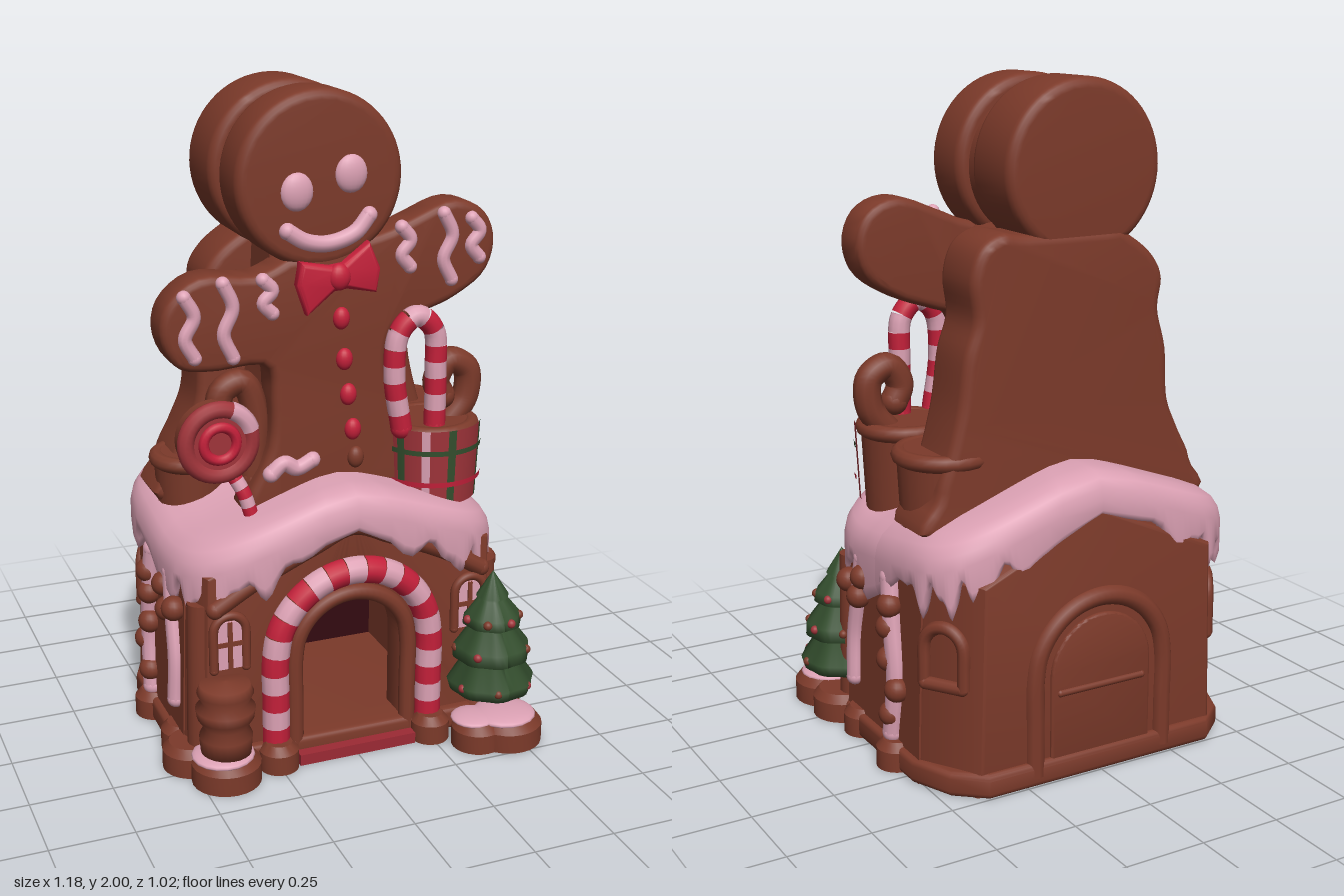
import * as THREE from 'three';
import { toCreasedNormals } from 'three/addons/utils/BufferGeometryUtils.js';

const mat = (name, color) => Object.assign(new THREE.MeshStandardMaterial({ color }), { name });
const V = (x, y, z) => new THREE.Vector3(x, y, z);
const poly = pts => new THREE.Shape(pts.map(p => new THREE.Vector2(...p)));

export function createModel() {
  const root = new THREE.Group();
  const ginger = mat('gingerbread', 0x7c3a2a), icing = mat('pink icing', 0xdda2b5), red = mat('candy red', 0xc4203a);
  const dark = mat('dark interior', 0x330a10), green = mat('tree green', 0x35502f);
  const floorRed = mat('floor red', 0x9c2a34), cloth = mat('dull red', 0xa0343a);

  const add = (name, geo, m, x = 0, y = 0, z = 0, parent = root) => {
    const mesh = new THREE.Mesh(geo, m);
    mesh.name = name;
    mesh.position.set(x, y, z);
    parent.add(mesh);
    return mesh;
  };
  const ball = (name, m, x, y, z, rx, ry = rx, rz = rx) =>
    add(name, new THREE.SphereGeometry(1, 18, 12), m, x, y, z).scale.set(rx, ry, rz);
  const slab = (name, shape, z0, z1, b, m) => {
    const g = new THREE.ExtrudeGeometry(shape, {
      depth: z1 - z0 - 2 * b, bevelEnabled: b > 0, bevelThickness: b, bevelSize: b, bevelOffset: -b, bevelSegments: 4, curveSegments: 32
    });
    return add(name, toCreasedNormals(g, 0.8), m, 0, 0, z0 + b);
  };
  // Narrow the outer sides of a wall slab towards its front (dir 1) or back (dir -1)
  const taper = (mesh, dir, k) => {
    const p = mesh.geometry.attributes.position;
    mesh.geometry.computeBoundingBox();
    const { min, max } = mesh.geometry.boundingBox;
    for (let i = 0; i < p.count; i++) {
      const t = (dir > 0 ? p.getZ(i) - min.z : max.z - p.getZ(i)) / (max.z - min.z);
      if (Math.abs(p.getX(i)) > 0.3) p.setX(i, p.getX(i) * (1 - (1 - k) * t));
    }
    mesh.geometry = toCreasedNormals(mesh.geometry, 0.6);
  };
  const tube = (name, pts, r, m) => {
    const c = new THREE.CatmullRomCurve3(pts);
    add(name, new THREE.TubeGeometry(c, pts.length * 6, r, 10), m);
    for (const p of [pts[0], pts[pts.length - 1]]) ball(name + 'End', m, p.x, p.y, p.z, r);
  };
  // Candy stick cut into alternating red and pink pieces
  const candy = (name, pts, r, n) => {
    const c = new THREE.CatmullRomCurve3(pts);
    for (let i = 0; i < n; i++) {
      const part = [0, 1, 2, 3].map(k => c.getPointAt((i + k / 3) / n));
      add(name, new THREE.TubeGeometry(new THREE.CatmullRomCurve3(part), 6, r, 12), i % 2 ? icing : red);
    }
    for (const [t, k] of [[0, 0], [1, n - 1]]) {
      const p = c.getPointAt(t);
      ball(name + 'End', k % 2 ? icing : red, p.x, p.y, p.z, r);
    }
  };
  const archPts = (r, y0, cy, z, cx = 0) => {
    const p = [V(cx - r, y0, z), V(cx - r, (y0 + cy) / 2, z)];
    for (let i = 0; i <= 8; i++) p.push(V(cx - r * Math.cos(i * Math.PI / 8), cy + r * Math.sin(i * Math.PI / 8), z));
    return [...p, V(cx + r, (y0 + cy) / 2, z), V(cx + r, y0, z)];
  };
  const archShape = (r, y0, cy, Type = THREE.Shape) => {
    const s = new Type();
    s.moveTo(-r, y0); s.lineTo(r, y0); s.lineTo(r, cy);
    s.absarc(0, cy, r, 0, Math.PI, false);
    s.closePath();
    return s;
  };
  const blob = pts => new THREE.Shape(new THREE.SplineCurve([...pts, pts[0]].map(p => new THREE.Vector2(...p))).getPoints(90).slice(0, -1));
  const disc = (x, y, r) => new THREE.Shape().absarc(x, y, r, 0, Math.PI * 2, false);

  // House shell: front wall with doorway, hollow middle, solid back
  const gable = hole => {
    const s = poly([[-0.51, 0], [0.51, 0], [0.49, 0.63], [0, 0.8], [-0.49, 0.63]]);
    if (hole) s.holes.push(hole);
    return s;
  };
  taper(slab('frontWall', gable(archShape(0.165, 0.03, 0.335, THREE.Path)), 0.16, 0.275, 0.012, ginger), 1, 0.92);
  slab('sideWalls', gable(archShape(0.3, 0.03, 0.33, THREE.Path)), -0.31, 0.17, 0, ginger);
  taper(slab('backWall', gable(), -0.485, -0.3, 0.012, ginger), -1, 0.78);
  slab('interiorBack', archShape(0.3, 0.03, 0.33), -0.302, -0.293, 0, dark);
  add('floor', new THREE.BoxGeometry(0.4, 0.02, 0.58), floorRed, 0, 0.03, -0.005);
  add('doorstep', new THREE.BoxGeometry(0.38, 0.035, 0.05), floorRed, 0, 0.0175, 0.31);
  add('innerArch', new THREE.TubeGeometry(new THREE.CatmullRomCurve3(archPts(0.185, 0.03, 0.335, 0.275)), 60, 0.026, 10), ginger);
  candy('doorArch', archPts(0.25, 0.07, 0.345, 0.285), 0.042, 23);
  tube('gableTrim', [V(-0.43, 0.53, 0.27), V(-0.3, 0.61, 0.28), V(-0.12, 0.69, 0.28), V(0, 0.735, 0.28), V(0.12, 0.69, 0.28), V(0.3, 0.61, 0.28), V(0.43, 0.53, 0.27)], 0.028, ginger);

  // Back door with raised frame
  slab('backDoor', archShape(0.17, 0.05, 0.32), -0.495, -0.475, 0.008, ginger);
  add('backArch', new THREE.TubeGeometry(new THREE.CatmullRomCurve3(archPts(0.22, 0.03, 0.32, -0.48)), 60, 0.03, 10), ginger);
  tube('backDoorRail', [V(-0.14, 0.27, -0.49), V(0, 0.27, -0.49), V(0.14, 0.27, -0.49)], 0.012, ginger);

  // Plinth and its lobes
  const plan = poly([[-0.38, -0.505], [0.38, -0.505], [0.47, -0.43], [0.525, -0.3], [0.53, 0.14], [0.46, 0.3], [-0.46, 0.3], [-0.53, 0.14], [-0.525, -0.3], [-0.47, -0.43]]);
  const plinth = slab('plinth', plan, 0, 0.075, 0.018, ginger);
  plinth.rotation.x = Math.PI / 2;
  plinth.position.set(0, 0.057, 0);
  const lobe = (x, z, r, h = 0.085) => {
    const p = [[0, 0], [r, 0], [r, h - 0.025], [r - 0.02, h], [0, h]].map(q => new THREE.Vector2(...q));
    add('baseLobe', toCreasedNormals(new THREE.LatheGeometry(p, 24), 0.6), ginger, x, 0, z);
  };
  [[-0.42, 0.32, 0.105], [-0.49, 0.2, 0.09], [0.37, 0.4, 0.08], [0.47, 0.4, 0.11], [0.48, 0.26, 0.1], [-0.25, 0.31, 0.06], [0.25, 0.31, 0.06],
    [-0.5, -0.16, 0.065], [0.5, -0.16, 0.065], [0.48, 0.1, 0.07], [-0.48, 0.08, 0.07]].forEach(l => lobe(...l));
  ball('baseSnow', icing, 0.46, 0.085, 0.4, 0.1, 0.02, 0.095);
  ball('baseSnow', icing, 0.36, 0.085, 0.39, 0.07, 0.016, 0.07);
  ball('baseSnow', icing, -0.43, 0.085, 0.32, 0.095, 0.02, 0.095);

  // Stacked jar beside the door
  const jar = [[0, 0.08], [0.075, 0.09], [0.08, 0.15], [0.065, 0.18], [0.085, 0.21], [0.09, 0.24], [0.07, 0.26], [0.085, 0.29], [0.075, 0.315], [0, 0.325]];
  add('jar', new THREE.LatheGeometry(jar.map(p => new THREE.Vector2(...p)), 24), ginger, -0.42, 0, 0.32);
  // Front windows
  for (const s of [-1, 1]) {
    add('frontWindow', new THREE.BoxGeometry(0.085, 0.15, 0.008), icing, s * 0.39, 0.415, 0.279);
    add('windowBar', new THREE.BoxGeometry(0.014, 0.15, 0.008), ginger, s * 0.39, 0.415, 0.284);
    add('windowBar', new THREE.BoxGeometry(0.085, 0.014, 0.008), ginger, s * 0.39, 0.42, 0.284);
    tube('windowFrame', archPts(0.05, 0.34, 0.46, 0.28, s * 0.39), 0.014, ginger);
  }
  // Side walls: corner posts, icing drips with sweets, arched windows
  for (const s of [-1, 1]) {
    add('cornerPost', new THREE.CylinderGeometry(0.04, 0.05, 0.54, 14), ginger, s * 0.46, 0.27, 0.22);
    tube('sideDrip', [V(s * 0.5, 0.58, 0.06), V(s * 0.503, 0.46, 0.08), V(s * 0.505, 0.32, 0.11), V(s * 0.51, 0.18, 0.11)], 0.027, icing);
    tube('sideDrip', [V(s * 0.5, 0.58, -0.13), V(s * 0.505, 0.45, -0.15), V(s * 0.505, 0.28, -0.17), V(s * 0.51, 0.1, -0.15)], 0.032, icing);
    [[0.49, 0.13], [0.46, 0.06], [0.53, 0.03], [0.5, -0.15], [0.43, -0.14], [0.33, -0.14], [0.25, -0.19], [0.16, -0.15]].forEach(([y, z]) => ball('sideSweet', ginger, s * 0.515, y, z, 0.038));
    const frame = new THREE.TubeGeometry(new THREE.CatmullRomCurve3(archPts(0.065, 0.32, 0.43, 0)), 40, 0.02, 8);
    add('sideWindowFrame', frame, ginger, s * 0.456, 0, -0.375).rotation.y = Math.PI / 2 + s * 0.55;
    tube('sideWindowSill', [V(s * 0.425, 0.32, -0.425), V(s * 0.49, 0.32, -0.325)], 0.02, ginger);
  }

  // Icing roof: rings over a rounded plan, with a dripping skirt
  const N = 160, pos = [], idx = [];
  const rings = [[0.001, 0, 0], [0.3, 0, 0], [0.55, 0, 0], [0.75, 0, 0], [0.88, 0.004, 0], [0.95, 0.02, 0], [0.985, 0.045, 0], [1, 0.08, 0], [1, 0.1, 0.7], [0.98, 0.11, 1], [0.94, 0.11, 0.95], [0.9, 0.08, 0]];
  const step = THREE.MathUtils.smoothstep;
  rings.forEach(([t, drop, d], k) => {
    for (let j = 0; j <= N; j++) {
      const a = j / N * Math.PI * 2, e = Math.sin(a) < 0 ? 0.42 : 0.5;
      const pw = v => Math.sign(v) * Math.abs(v) ** e;
      const x = 0.525 * t * pw(Math.cos(a)), z = -0.08 + 0.41 * t * pw(Math.sin(a));
      const top = 0.888 - 0.38 * Math.sqrt(x * x + 0.006) + 0.05 * step(-z, -0.1, 0.35);
      const drip = (0.3 + 1.4 * Math.abs(x)) * (0.05 + 0.045 * Math.sin(17 * a + 1) + 0.025 * Math.sin(31 * a))
        + 0.03 * step(Math.abs(z + 0.08), 0.25, 0.38) * step(Math.abs(x), 0.04, 0.2);
      pos.push(x, top - drop - d * Math.max(0, drip), z);
      const p = k * (N + 1) + j;
      if (k < rings.length - 1 && j < N) idx.push(p, p + 1, p + N + 1, p + 1, p + N + 2, p + N + 1);
    }
  });
  const roof = new THREE.BufferGeometry();
  roof.setAttribute('position', new THREE.Float32BufferAttribute(pos, 3));
  roof.setIndex(idx);
  roof.computeVertexNormals();
  icing.side = THREE.DoubleSide;
  add('icingRoof', roof, icing);

  // Front gingerbread figure
  const frontBody = [[-0.15, 1.52], [-0.25, 1.48], [-0.41, 1.49], [-0.51, 1.42], [-0.53, 1.32], [-0.48, 1.23], [-0.38, 1.21], [-0.22, 1.21], [-0.2, 1.1], [-0.21, 0.95], [-0.27, 0.72],
    [0.24, 0.72], [0.2, 0.95], [0.16, 1.15], [0.18, 1.28], [0.27, 1.32], [0.38, 1.36], [0.48, 1.43], [0.51, 1.53], [0.47, 1.62], [0.37, 1.655], [0.24, 1.61], [0.13, 1.57]];
  slab('frontFigureBody', blob(frontBody), 0.02, 0.15, 0.025, ginger);
  slab('frontFigureHead', disc(-0.05, 1.745, 0.255), -0.02, 0.153, 0.03, ginger);
  // Joining core and rear figure
  slab('headCore', disc(-0.05, 1.735, 0.22), -0.12, 0.02, 0, ginger);
  slab('bodyCore', blob([[-0.17, 1.55], [-0.19, 1.2], [-0.22, 0.75], [0.22, 0.75], [0.17, 1.2], [0.14, 1.55]]), -0.12, 0.05, 0, ginger);
  slab('rearFigureHead', disc(-0.05, 1.745, 0.255), -0.31, -0.09, 0.03, ginger);
  const rearBody = [[-0.17, 1.57], [-0.27, 1.5], [-0.32, 1.42], [-0.31, 1.32], [-0.34, 1.2], [-0.35, 1.05], [-0.39, 0.95], [-0.44, 0.84], [-0.42, 0.72],
    [0.42, 0.72], [0.43, 0.85], [0.39, 0.98], [0.36, 1.1], [0.34, 1.24], [0.31, 1.34], [0.32, 1.45], [0.29, 1.54], [0.22, 1.58], [0.13, 1.57]];
  slab('rearFigureBody', blob(rearBody), -0.315, -0.11, 0.03, ginger);

  // Face, bow tie, buttons and icing squiggles
  ball('eye', icing, -0.125, 1.715, 0.15, 0.05, 0.056, 0.025);
  ball('eye', icing, 0.04, 1.757, 0.15, 0.05, 0.056, 0.025);
  tube('smile', [V(-0.155, 1.605, 0.153), V(-0.1, 1.572, 0.156), V(-0.03, 1.562, 0.156), V(0.05, 1.587, 0.156), V(0.095, 1.635, 0.153)], 0.025, icing);
  const bow = poly([[-0.02, 0.035], [-0.11, 0.065], [-0.13, 0], [-0.11, -0.095], [-0.02, -0.04], [0.02, -0.04], [0.11, -0.07], [0.13, 0], [0.105, 0.085], [0.02, 0.035]]);
  const tie = slab('bowTie', bow, 0.13, 0.185, 0.015, red);
  tie.position.set(-0.005, 1.465, 0.145);
  tie.rotation.z = 0.12;
  ball('bowKnot', red, -0.005, 1.465, 0.175, 0.035, 0.04, 0.025);
  [[0.012, 1.335], [0.022, 1.21], [0.035, 1.1], [0.05, 0.99], [0.06, 0.9]].forEach(([x, y], i) => ball('button', i < 4 ? red : ginger, x, y, 0.15, 0.026, 0.034, 0.022));
  [[-0.45, 1.35, 0.09], [-0.335, 1.36, 0.11], [-0.215, 1.42, 0.05], [0.215, 1.53, 0.06], [0.35, 1.52, 0.1], [0.44, 1.54, 0.06]].forEach(([x, y, h]) =>
    tube('armIcing', [1, 0.35, -0.35, -1].map((t, i) => V(x + (i % 2 ? 0.014 : -0.014), y + t * h, 0.15)), 0.021, icing));
  tube('footIcing', [V(-0.21, 0.88, 0.15), V(-0.17, 0.91, 0.15), V(-0.13, 0.89, 0.15), V(-0.08, 0.91, 0.15)], 0.025, icing);

  // Candy cane and brown curls
  candy('candyCane', [V(0.2, 0.98, 0.17), V(0.175, 1.15, 0.17), V(0.19, 1.28, 0.17), V(0.245, 1.325, 0.17), V(0.3, 1.28, 0.17), V(0.31, 1.15, 0.17), V(0.31, 0.98, 0.17)], 0.033, 15);
  tube('rightCurl', [V(0.39, 0.95, 0.09), V(0.45, 1.03, 0.09), V(0.45, 1.12, 0.09), V(0.39, 1.15, 0.09), V(0.35, 1.09, 0.09), V(0.37, 1.04, 0.09)], 0.042, ginger);
  tube('leftCurl', [V(-0.24, 0.85, 0.07), V(-0.23, 1.05, 0.07), V(-0.27, 1.15, 0.07), V(-0.33, 1.13, 0.07), V(-0.35, 1.05, 0.07)], 0.04, ginger);

  // Lollipop: disc with coloured rings and a striped stick
  const lolly = new THREE.Group();
  lolly.name = 'lollipop';
  lolly.position.set(-0.37, 1, 0.13);
  root.add(lolly);
  add('lollipopBack', new THREE.CylinderGeometry(0.115, 0.115, 0.06, 32), ginger, 0, 0, -0.01, lolly).rotation.x = Math.PI / 2;
  add('lollipopFace', new THREE.CylinderGeometry(0.1, 0.1, 0.02, 32), cloth, 0, 0, 0.025, lolly).rotation.x = Math.PI / 2;
  add('lollipopRim', new THREE.TorusGeometry(0.1, 0.026, 10, 36), cloth, 0, 0, 0.02, lolly);
  add('lollipopRing', new THREE.TorusGeometry(0.05, 0.016, 8, 30), red, 0, 0, 0.035, lolly);
  add('lollipopSwirl', new THREE.TorusGeometry(0.1, 0.029, 8, 16, 0.9), icing, 0, 0, 0.022, lolly).rotation.z = 0.3;
  candy('lollipopStick', [V(-0.33, 0.9, 0.14), V(-0.3, 0.84, 0.16), V(-0.28, 0.77, 0.17)], 0.022, 5);

  // Pots on the roof
  const pot = (x, z, r, y0, y1) => {
    add('pot', new THREE.CylinderGeometry(r, r * 0.9, y1 - y0, 24), ginger, x, (y0 + y1) / 2, z);
    add('potRim', new THREE.TorusGeometry(r - 0.01, 0.025, 10, 28), ginger, x, y1 - 0.02, z).rotation.x = Math.PI / 2;
  };
  pot(0.34, -0.17, 0.14, 0.68, 0.96);
  pot(0.33, 0.1, 0.135, 0.7, 0.98);
  pot(-0.365, -0.15, 0.115, 0.65, 0.88);
  // Checked wrap round the front pot
  const wrap = [cloth, green, cloth, icing, cloth, green, cloth, cloth, green, cloth];
  const width = m => m === cloth ? 0.37 : 0.17;
  let turn = -1.5;
  for (const m of wrap) {
    add('wrapStripe', new THREE.CylinderGeometry(0.155, 0.143, 0.24, 4, 1, true, turn, width(m)), m, 0.328, 0.86, 0.1);
    turn += width(m);
  }
  for (const y of [0.81, 0.91]) add('wrapBand', new THREE.CylinderGeometry(0.157, 0.156, 0.016, 24, 1, true, -1.5, 2.9), y > 0.85 ? green : red, 0.328, y, 0.1);

  // Decorated fir tree
  const fir = [[0, 0.11], [0.05, 0.12], [0.125, 0.14], [0.135, 0.175], [0.09, 0.24], [0.118, 0.25], [0.115, 0.29], [0.07, 0.35], [0.09, 0.36], [0.085, 0.39], [0.045, 0.44], [0.05, 0.45], [0, 0.53]];
  const tree = new THREE.LatheGeometry(fir.map(p => new THREE.Vector2(...p)), 40);
  const tp = tree.attributes.position;
  for (let i = 0; i < tp.count; i++) {
    const x = tp.getX(i), z = tp.getZ(i), k = 1 + 0.03 * Math.sin(8 * Math.atan2(z, x));
    tp.setXYZ(i, x * k, tp.getY(i), z * k);
  }
  tree.computeVertexNormals();
  add('firTree', tree, green, 0.455, 0, 0.31);
  for (let i = 0; i < 18; i++) {
    const a = i * 2.4, row = i % 3;
    const r = [0.127, 0.112, 0.084][row], y = [0.17, 0.28, 0.38][row];
    ball('bauble', i % 2 ? cloth : ginger, 0.455 + r * Math.cos(a), y, 0.31 + r * Math.sin(a), 0.014);
  }
  return root;
}
